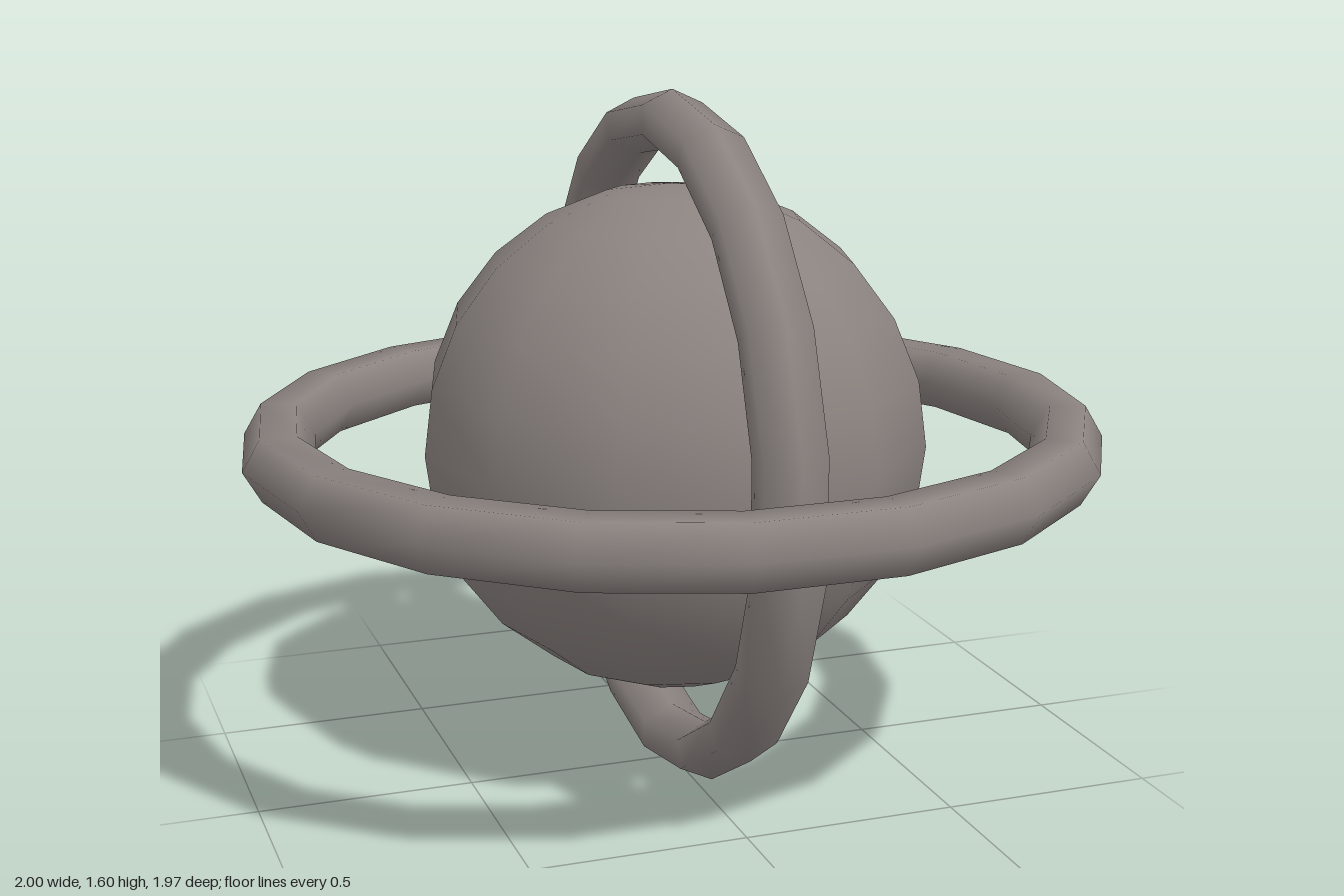
import * as THREE from 'three';

export function createModel() {
  const group = new THREE.Group();
  const stone = new THREE.MeshStandardMaterial({ color: 0x8b8380 });
  stone.name = 'warmGrey';

  const centreY = 0.802;
  const add = (name, geometry) => {
    const mesh = new THREE.Mesh(geometry, stone);
    mesh.name = name;
    mesh.position.y = centreY;
    group.add(mesh);
    return mesh;
  };

  // Central ball
  add('ball', new THREE.SphereGeometry(0.59, 12, 12));

  // Both rings share one hexagonal-section torus
  const ring = new THREE.TorusGeometry(0.917, 0.083, 6, 18);

  // Wide ring lying flat around the equator
  add('horizontalRing', ring).rotation.x = Math.PI / 2;

  // Smaller upright ring in the YZ plane, with a corner at the top
  const upright = add('uprightRing', ring);
  upright.rotation.set(0, Math.PI / 2, Math.PI / 2);
  upright.scale.set(0.802, 0.802, 1);

  return group;
}
